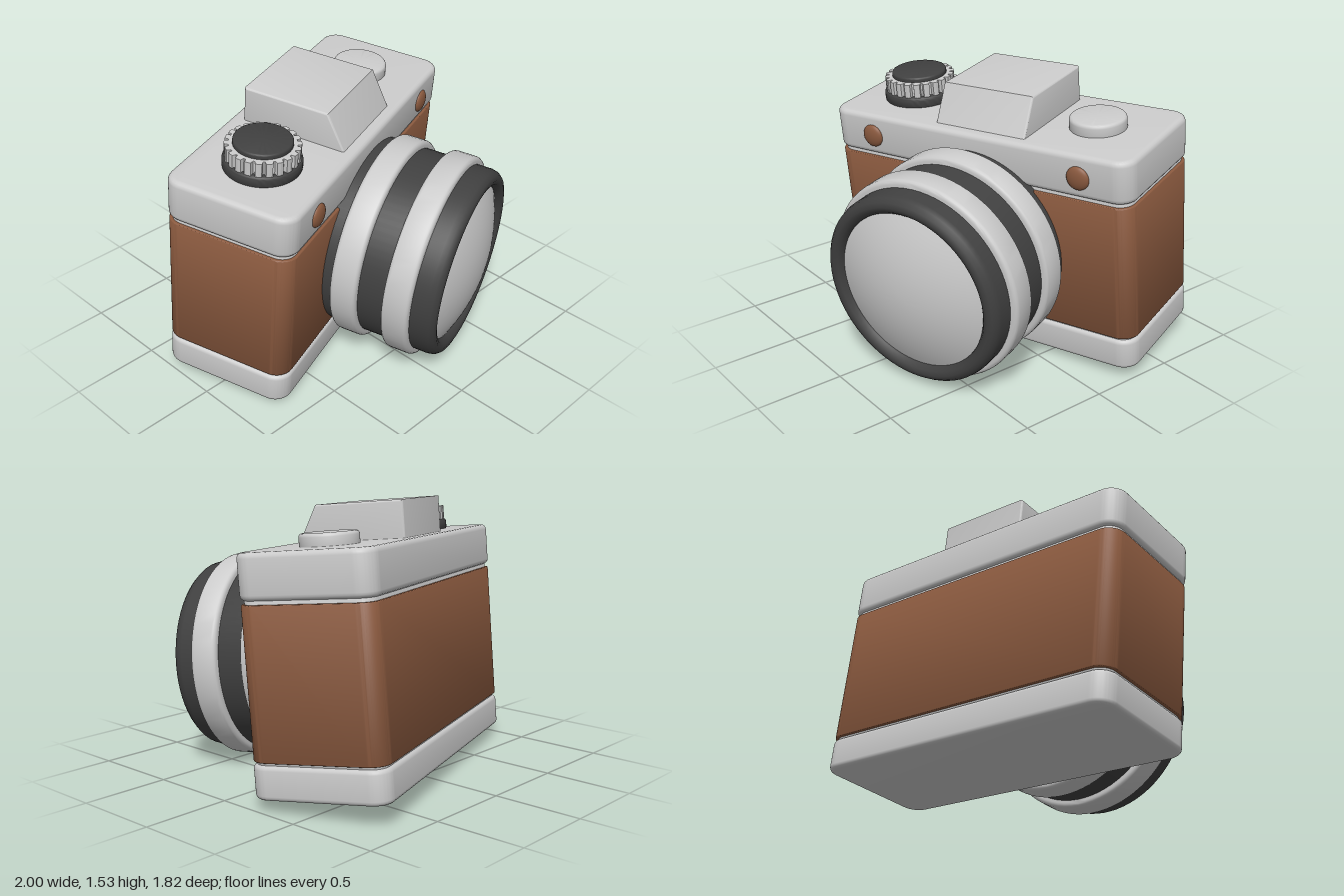
import * as THREE from 'three';
import { toCreasedNormals } from 'three/addons/utils/BufferGeometryUtils.js';

const mat = (color) => new THREE.MeshStandardMaterial({ color });
const metal = mat(0xcccccc);
const leather = mat(0x8b5a3f);
const rubber = mat(0x404040);

// Rounded rectangle outline centred on the origin
function roundedRect(w, d, r) {
  const s = new THREE.Shape();
  const x = w / 2 - r, y = d / 2 - r;
  s.absarc(x, y, r, 0, Math.PI / 2);
  s.absarc(-x, y, r, Math.PI / 2, Math.PI);
  s.absarc(-x, -y, r, Math.PI, Math.PI * 1.5);
  s.absarc(x, -y, r, Math.PI * 1.5, Math.PI * 2);
  s.closePath();
  return s;
}

// Extrusion with softened edges whose overall size matches the outline and depth
function softExtrude(shape, depth, bevel) {
  const g = new THREE.ExtrudeGeometry(shape, {
    depth: depth - 2 * bevel, bevelEnabled: true, bevelThickness: bevel,
    bevelSize: bevel, bevelOffset: -bevel, bevelSegments: 4, curveSegments: 10,
  });
  g.translate(0, 0, bevel);
  return toCreasedNormals(g, 0.6);
}

// Turned part from [radius, height] pairs, ordered from the base upwards
function turned(points, segments = 72) {
  const pts = points.map(([r, h]) => new THREE.Vector2(r, h));
  return toCreasedNormals(new THREE.LatheGeometry(pts, segments), 0.65);
}

// Solid disc or band with rounded rims
function band(r, h0, h1, bevel) {
  const pts = [[0, h0]];
  for (let i = 0; i <= 4; i++) {
    const a = (i / 4) * Math.PI / 2;
    pts.push([r - bevel + bevel * Math.sin(a), h0 + bevel - bevel * Math.cos(a)]);
  }
  for (let i = 0; i <= 4; i++) {
    const a = (i / 4) * Math.PI / 2;
    pts.push([r - bevel + bevel * Math.cos(a), h1 - bevel + bevel * Math.sin(a)]);
  }
  pts.push([0, h1]);
  return turned(pts);
}

function add(parent, name, geometry, material) {
  const mesh = new THREE.Mesh(geometry, material);
  mesh.name = name;
  parent.add(mesh);
  return mesh;
}

export function createModel() {
  const model = new THREE.Group();
  model.name = 'camera';
  const cam = new THREE.Group();
  cam.name = 'tiltedCamera';
  cam.position.set(0, 0.065, -0.27);
  cam.rotation.set(0.095, 0.322, 0);
  model.add(cam);

  // Body: stacked rounded slabs around a slightly inset core
  const slab = (name, inset, y0, y1, bevel, material) => {
    const shape = roundedRect(1.91 - 2 * inset, 0.75 - 2 * inset, 0.1 - inset);
    const g = softExtrude(shape, y1 - y0, bevel);
    g.rotateX(-Math.PI / 2);
    add(cam, name, g, material).position.y = y0;
  };
  slab('bottomPlate', 0, 0, 0.18, 0.025, metal);
  slab('bodyCore', 0.02, 0.1, 1.1, 0.01, metal);
  slab('leatherWrap', 0.002, 0.192, 0.982, 0.008, leather);
  slab('topPlate', 0, 1.0, 1.24, 0.03, metal);

  // Viewfinder hump with a sloped front; profile drawn as (-z, y)
  const hump = new THREE.Shape();
  hump.moveTo(-0.33, 1.2);
  hump.lineTo(0.3, 1.2);
  hump.lineTo(0.3, 1.44);
  hump.lineTo(-0.2, 1.44);
  hump.closePath();
  const humpGeo = softExtrude(hump, 0.57, 0.012);
  humpGeo.translate(0, 0, -0.285);
  humpGeo.rotateY(Math.PI / 2);
  add(cam, 'viewfinderHump', humpGeo, metal).position.x = 0.03;

  // Lens barrel, grip bands and bulging front glass
  const lens = new THREE.Group();
  lens.name = 'lens';
  lens.position.y = 0.6;
  lens.rotation.x = Math.PI / 2;
  cam.add(lens);
  const barrel = [[0.545, 0.33], [0.545, 0.97]];
  for (let i = 1; i <= 6; i++) {
    const a = (i / 6) * Math.PI;
    barrel.push([0.495 + 0.05 * Math.cos(a), 0.97 + 0.06 * Math.sin(a)]);
  }
  barrel.push([0.43, 0.97]);
  add(lens, 'lensBarrel', turned(barrel), rubber);
  add(lens, 'rearLensRing', band(0.585, 0.43, 0.585, 0.025), metal);
  add(lens, 'frontLensRing', band(0.585, 0.735, 0.89, 0.025), metal);
  const glass = [];
  for (let i = 0; i <= 10; i++) {
    const r = 0.45 * (1 - i / 10);
    glass.push([r, 1.095 - 0.105 * (r / 0.45) ** 2]);
  }
  add(lens, 'frontGlass', turned(glass), metal);

  // Knurled dial in three tiers
  const dial = new THREE.Group();
  dial.name = 'dial';
  dial.position.set(-0.58, 1.23, 0);
  cam.add(dial);
  add(dial, 'dialBase', band(0.21, 0, 0.07, 0.02), rubber);
  add(dial, 'dialInner', band(0.176, 0.05, 0.141, 0.005), rubber);
  const gear = new THREE.Shape();
  const teeth = 22;
  for (let i = 0; i < teeth; i++) {
    [[0, 0.177], [0.1, 0.198], [0.4, 0.2], [0.7, 0.198], [0.8, 0.177]].forEach(([t, r], k) => {
      const a = ((i + t) / teeth) * Math.PI * 2;
      gear[i + k === 0 ? 'moveTo' : 'lineTo'](r * Math.cos(a), r * Math.sin(a));
    });
  }
  gear.closePath();
  const gearGeo = new THREE.ExtrudeGeometry(gear, { depth: 0.08, bevelEnabled: false });
  gearGeo.rotateX(-Math.PI / 2);
  add(dial, 'dialKnurl', gearGeo, metal).position.y = 0.065;
  add(dial, 'dialCap', band(0.157, 0.13, 0.172, 0.012), rubber);

  // Shutter button
  add(cam, 'shutterButton', band(0.155, 1.22, 1.307, 0.02), metal).position.x = 0.588;

  // Two small round studs on the front of the top plate
  for (const side of [-1, 1]) {
    const stud = add(cam, side < 0 ? 'rightStud' : 'leftStud', new THREE.SphereGeometry(0.066, 32, 20), leather);
    stud.position.set(side * 0.665, 1.115, 0.375);
    stud.scale.z = 0.4;
  }
  return model;
}
